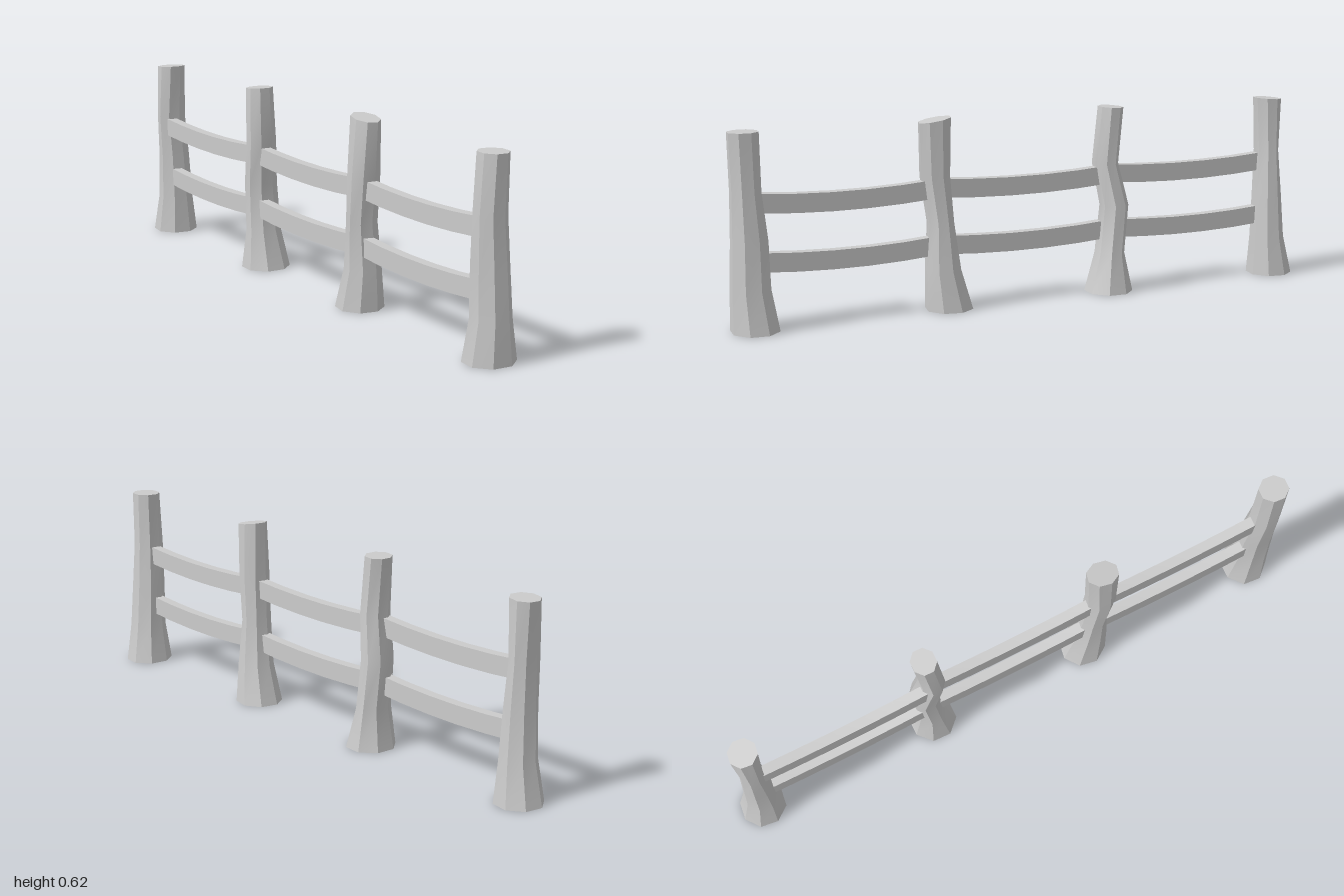
import * as THREE from 'three';
import { toCreasedNormals } from 'three/addons/utils/BufferGeometryUtils.js';

const wood = new THREE.MeshStandardMaterial({ color: 0xcccccc });
const CREASE = 0.5;

// Moves every vertex by a rule, then keeps only the sharp edges creased
function shape(geometry, rule) {
  const p = geometry.attributes.position;
  const v = new THREE.Vector3();
  for (let i = 0; i < p.count; i++) {
    rule(v.fromBufferAttribute(p, i));
    p.setXYZ(i, v.x, v.y, v.z);
  }
  return toCreasedNormals(geometry, CREASE);
}

// Crooked eight-sided post; rings run bottom to top: [y, xMin, xMax, zMin, zMax]
function makePost({ rings, tilt, turn }) {
  const geometry = new THREE.CylinderGeometry(1.03, 1.03, 1, 8, rings.length - 1);
  geometry.rotateY(turn);
  const mesh = new THREE.Mesh(shape(geometry, (v) => {
    const row = Math.round((v.y + 0.5) * (rings.length - 1));
    const [y, x0, x1, z0, z1] = rings[row];
    v.y = y + (row === rings.length - 1 ? tilt * v.z : 0);
    v.x = (x0 + x1) / 2 + v.x * (x1 - x0) / 2;
    v.z = (z0 + z1) / 2 + v.z * (z1 - z0) / 2;
  }), wood);
  mesh.name = 'post';
  return mesh;
}

// Flat rail sagging a little between two posts
function makeRail(name, z0, z1, x, y, thickness, height) {
  const geometry = new THREE.BoxGeometry(thickness, height, 1, 1, 1, 5);
  const mesh = new THREE.Mesh(shape(geometry, (v) => {
    const t = v.z * 2;
    v.x += x;
    v.y += y - 0.013 * (1 - t * t);
    v.z = (z0 + z1) / 2 + v.z * (z1 - z0);
  }), wood);
  mesh.name = name;
  return mesh;
}

const posts = [
  { tilt: 0, turn: 0.3, rings: [
    [0, -0.08, 0.08, 0.85, 1], [0.13, -0.065, 0.055, 0.872, 0.997],
    [0.28, -0.065, 0.045, 0.875, 0.99], [0.43, -0.068, 0.032, 0.89, 0.985],
    [0.613, -0.06, 0.03, 0.893, 0.99]] },
  { tilt: -0.008, turn: 0.2, rings: [
    [0, -0.08, 0.07, 0.207, 0.36], [0.13, -0.065, 0.05, 0.245, 0.36],
    [0.28, -0.065, 0.035, 0.265, 0.348], [0.43, -0.07, 0.03, 0.275, 0.37],
    [0.611, -0.057, 0.027, 0.27, 0.377]] },
  { tilt: 0.002, turn: 0.35, rings: [
    [0, -0.08, 0.08, -0.367, -0.212], [0.13, -0.065, 0.055, -0.34, -0.25],
    [0.29, -0.06, 0.05, -0.355, -0.266], [0.43, -0.07, 0.032, -0.323, -0.243],
    [0.616, -0.06, 0.03, -0.34, -0.26]] },
  { tilt: 0.003, turn: 0.25, rings: [
    [0, -0.08, 0.07, -0.998, -0.848], [0.13, -0.067, 0.052, -0.968, -0.858],
    [0.28, -0.066, 0.042, -0.958, -0.865], [0.43, -0.072, 0.03, -0.948, -0.875],
    [0.61, -0.065, 0.028, -0.955, -0.863]] },
];

// One pair of rails per bay: [zStart, zEnd, upper x, lower x]
const bays = [
  [0.9, 0.32, -0.018, -0.018],
  [0.31, -0.3, -0.022, -0.02],
  [-0.3, -0.9, -0.035, -0.024],
];

export function createModel() {
  const fence = new THREE.Group();
  fence.name = 'fence';
  posts.forEach((post) => fence.add(makePost(post)));
  for (const [a, b, upperX, lowerX] of bays) {
    fence.add(makeRail('upperRail', b, a, upperX, 0.392, 0.034, 0.06));
    fence.add(makeRail('lowerRail', b, a, lowerX, 0.209, 0.034, 0.06));
  }
  return fence;
}
